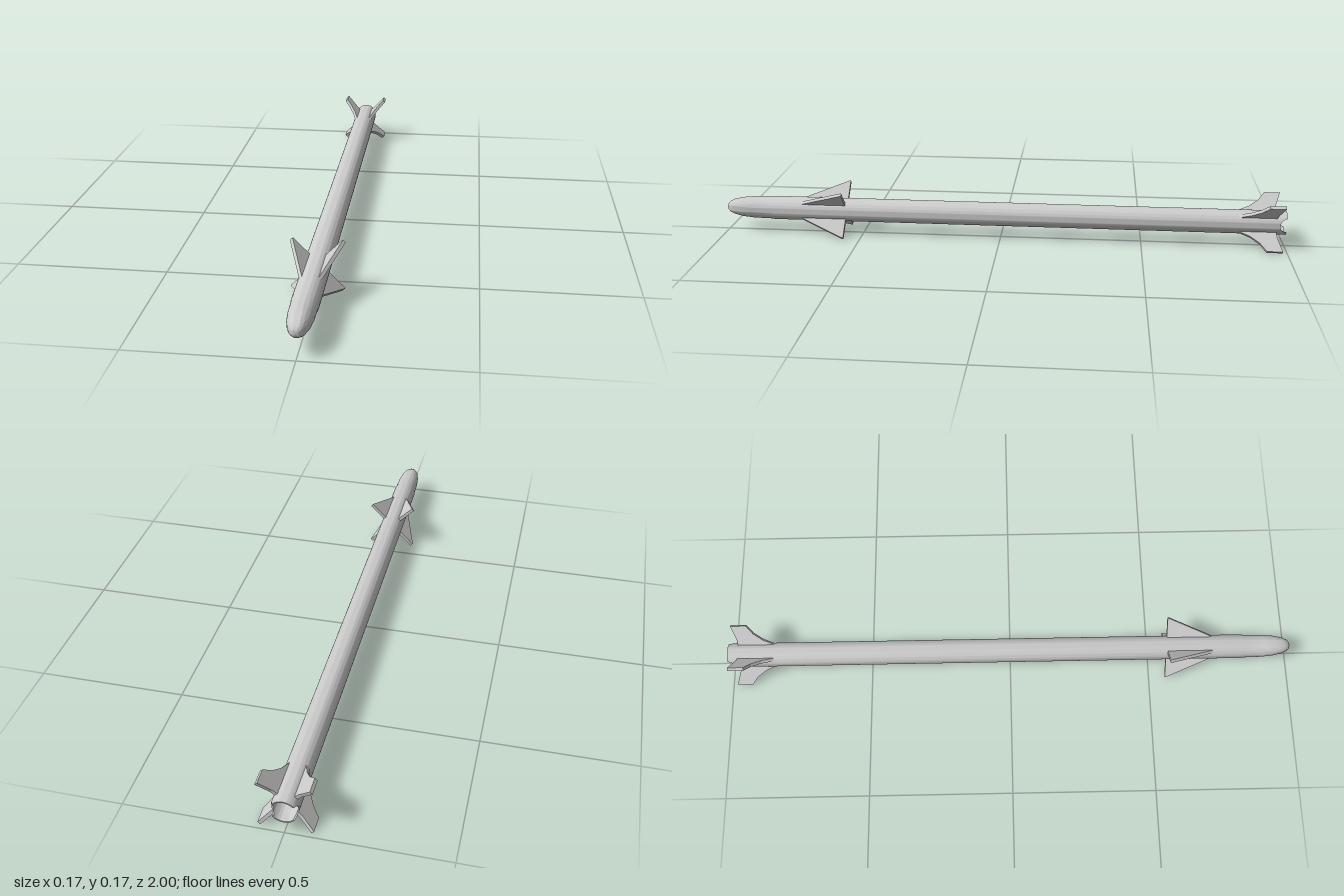
import * as THREE from 'three';
import { toCreasedNormals } from 'three/addons/utils/BufferGeometryUtils.js';

const AXIS_Y = 0.088, R = 0.042;
const material = new THREE.MeshStandardMaterial({ color: 0xcccccc });

// Hollow tail, straight tube and rounded nose, as one turned profile (radius, z)
function bodyGeometry() {
  const profile = [
    [0, -0.935], [0.015, -0.938], [0.028, -0.946], [0.036, -0.958], [0.038, -1],
    [R, -1], [R, -0.96], [R, 0.825], [0.0405, 0.83], [0.039, 0.9], [0.035, 0.94],
    [0.028, 0.972], [0.02, 0.989], [0.011, 0.997], [0, 1],
  ].map(([r, z]) => new THREE.Vector2(r, z));
  const geo = new THREE.LatheGeometry(profile, 96).rotateX(Math.PI / 2);

  // Round notches cut into the left and right of the tail rim
  const pos = geo.attributes.position, notch = 0.024;
  for (let i = 0; i < pos.count; i++) {
    const y = Math.abs(pos.getY(i));
    if (pos.getZ(i) < -0.999 && y < notch) {
      pos.setZ(i, -1 + Math.sqrt(notch * notch - y * y));
    }
  }
  return toCreasedNormals(geo, 0.6);
}

// Flat plate from an outline of (distance from axis, z)
function finGeometry(outline) {
  const thickness = 0.0115;
  const shape = new THREE.Shape(outline.map(([r, z]) => new THREE.Vector2(r, z)));
  return new THREE.ExtrudeGeometry(shape, { depth: thickness, bevelEnabled: false })
    .translate(0, 0, -thickness / 2)
    .rotateX(Math.PI / 2);
}

// Four fins set diagonally around the body
function finSet(name, outline) {
  const set = new THREE.Group();
  set.name = name + 's';
  const geo = finGeometry(outline);
  for (let i = 0; i < 4; i++) {
    const fin = new THREE.Mesh(geo, material);
    fin.name = name;
    fin.rotation.z = Math.PI / 4 + (i * Math.PI) / 2;
    set.add(fin);
  }
  return set;
}

export function createModel() {
  const model = new THREE.Group();
  model.name = 'missile';

  const body = new THREE.Mesh(bodyGeometry(), material);
  body.name = 'body';

  const frontFins = finSet('frontFin', [[0.039, 0.558], [0.115, 0.558], [0.115, 0.563], [0.039, 0.725]]);
  const tailFins = finSet('tailFin', [
    [0.039, -0.965], [0.06, -0.967], [0.115, -0.985], [0.115, -0.93],
    [0.085, -0.908], [0.06, -0.876], [0.039, -0.83],
  ]);

  model.add(body, frontFins, tailFins);
  for (const part of model.children) part.position.y = AXIS_Y;
  return model;
}
